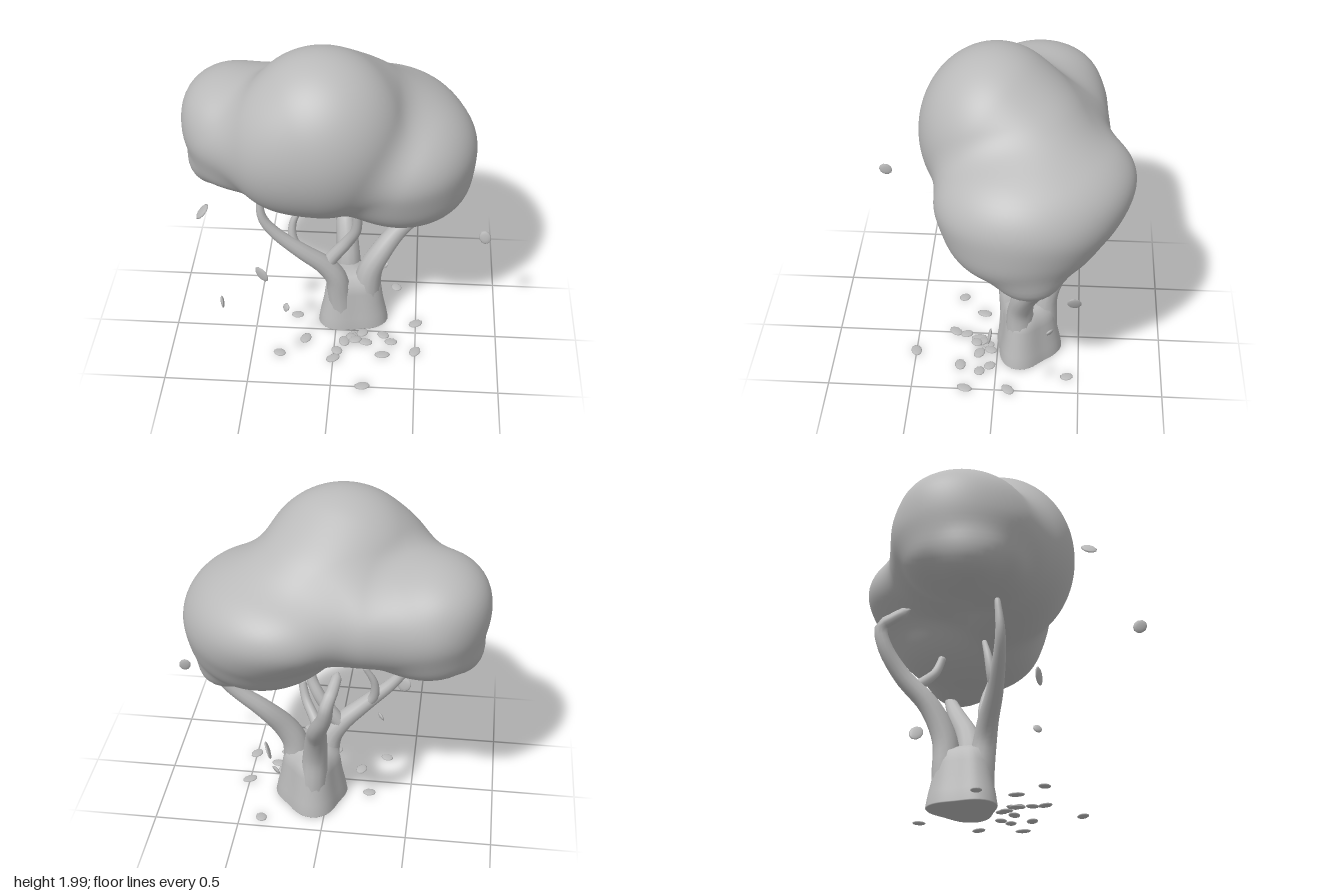
import * as THREE from 'three';
import { mergeVertices } from 'three/addons/utils/BufferGeometryUtils.js';

const grey = new THREE.MeshStandardMaterial({ color: 0xbababa });
grey.name = 'clay grey';
const V = (x, y, z) => new THREE.Vector3(x, y, z);

// Weld a geometry and give it smooth normals after its vertices were moved
function smooth(geo) {
  geo.deleteAttribute('uv');
  geo.deleteAttribute('normal');
  const welded = mergeVertices(geo, 1e-5);
  welded.computeVertexNormals();
  return welded;
}

function moveVertices(geo, rule) {
  const pos = geo.attributes.position, p = V(0, 0, 0);
  for (let i = 0; i < pos.count; i++) {
    rule(p.fromBufferAttribute(pos, i), i);
    pos.setXYZ(i, p.x, p.y, p.z);
  }
  return geo;
}

function addMesh(group, name, geo) {
  const mesh = new THREE.Mesh(geo, grey);
  mesh.name = name;
  group.add(mesh);
  return mesh;
}

// Tapered branch along a smooth path, closed at both ends
function branch(points, r0, r1) {
  const curve = new THREE.CatmullRomCurve3(points.map(p => V(...p)));
  const rings = 32, sides = 12;
  const geo = new THREE.TubeGeometry(curve, rings, 1, sides);
  moveVertices(geo, (p, i) => {
    const ring = Math.floor(i / (sides + 1));
    const t = ring / rings;
    const c = curve.getPointAt(t);
    const r = ring === 0 || ring === rings ? 0.0005 : r0 + (r1 - r0) * t;
    p.sub(c).multiplyScalar(r).add(c);
  });
  return smooth(geo);
}

// Trunk base with three soft lobes that lead into the main limbs
function trunk() {
  const profile = [[0, 0], [0.98, 0], [1, 0.006], [0.94, 0.08], [0.85, 0.17], [0.8, 0.25],
    [0.73, 0.32], [0.45, 0.355], [0, 0.36]].map(([r, y]) => new THREE.Vector2(r, y));
  const geo = new THREE.LatheGeometry(profile, 48);
  moveVertices(geo, p => {
    const lobe = 1 + 0.13 * Math.cos(3 * (Math.atan2(p.z, p.x) - 0.35));
    p.x = 0.095 + p.x * 0.208 * lobe;
    p.z = -0.175 + p.z * 0.195 * lobe;
  });
  return smooth(geo);
}

// Ellipsoid lumps of the crown: centre, radii
const lumps = [
  [V(-0.07, 1.49, 0.02), V(0.48, 0.505, 0.44)], // main dome
  [V(-0.3, 1.42, 0.07), V(0.32, 0.37, 0.32)], // front left of the dome
  [V(0.04, 1.47, -0.2), V(0.46, 0.36, 0.36)], // back slope
  [V(-0.22, 1.4, -0.3), V(0.4, 0.28, 0.33)], // back filling
  [V(0.23, 1.39, -0.37), V(0.42, 0.25, 0.4)], // back lobe
  [V(0.36, 1.3, -0.17), V(0.45, 0.35, 0.51)], // right lobe
  [V(0.37, 1.11, -0.14), V(0.4, 0.24, 0.4)], // right underside
  [V(0.59, 0.95, -0.2), V(0.14, 0.11, 0.16)], // right tip
  [V(-0.53, 1.4, -0.2), V(0.375, 0.33, 0.41)], // left lobe
  [V(-0.66, 1.52, -0.23), V(0.2, 0.16, 0.27)], // left shoulder
  [V(-0.58, 1.19, -0.2), V(0.27, 0.14, 0.3)], // left underside
  [V(-0.75, 1.14, -0.18), V(0.1, 0.1, 0.13)], // left tip
];

// Distance to the softly blended lumps
function crownDistance(p) {
  const k = 0.11;
  let d = Infinity;
  for (const [c, r] of lumps) {
    const q = p.clone().sub(c).divide(r);
    const a = q.length();
    const e = a * (a - 1) / Math.max(q.divide(r).length(), 1e-6);
    if (d === Infinity) { d = e; continue; }
    const h = Math.max(k - Math.abs(d - e), 0) / k;
    d = Math.min(d, e) - h * h * k / 4;
  }
  return d;
}

// A sphere whose points are drawn in until they touch the lumps
function crown() {
  const centre = V(-0.05, 1.36, -0.13);
  const geo = smooth(new THREE.IcosahedronGeometry(1, 26));
  moveVertices(geo, p => {
    const dir = p.clone().normalize();
    const at = t => crownDistance(p.copy(dir).multiplyScalar(t).add(centre));
    let t = 1.3;
    while (t > 0.1 && at(t) > 0) t -= 0.02;
    let lo = t, hi = t + 0.02;
    for (let i = 0; i < 10; i++) {
      const mid = (lo + hi) / 2;
      if (at(mid) > 0) hi = mid; else lo = mid;
    }
    p.copy(dir).multiplyScalar(lo).add(centre);
  });
  geo.computeVertexNormals();
  return geo;
}

export function createModel() {
  const tree = new THREE.Group();
  tree.name = 'tree';

  addMesh(tree, 'crown', crown());
  addMesh(tree, 'trunk', trunk());

  // Limbs: name, path, start radius, end radius
  const limbs = [
    ['rightLimb', [[0.18, 0.03, -0.15], [0.185, 0.22, -0.14], [0.205, 0.39, -0.14], [0.265, 0.51, -0.16],
      [0.37, 0.65, -0.21], [0.55, 0.82, -0.25], [0.65, 0.95, -0.27]], 0.1, 0.03],
    ['leftLimb', [[0.04, 0.03, -0.1], [0.02, 0.22, -0.085], [-0.005, 0.38, -0.065], [-0.07, 0.48, -0.05],
      [-0.2, 0.6, -0.02], [-0.37, 0.76, 0], [-0.44, 0.87, 0], [-0.45, 1.08, -0.02]], 0.088, 0.015],
    ['backLimb', [[0.08, 0.03, -0.27], [0.07, 0.22, -0.28], [0.06, 0.4, -0.29], [0.04, 0.6, -0.38],
      [0.01, 0.77, -0.54], [-0.04, 0.93, -0.645], [-0.06, 1.05, -0.67], [-0.08, 1.09, -0.61],
      [-0.1, 1.15, -0.5]], 0.09, 0.028],
    ['forkedTwig', [[-0.07, 0.47, -0.06], [-0.02, 0.54, -0.065], [0.07, 0.67, -0.05], [0.12, 0.78, -0.02],
      [0.13, 0.97, 0]], 0.045, 0.025],
    ['leftTwig', [[-0.22, 0.61, -0.02], [-0.26, 0.68, -0.04], [-0.26, 0.79, -0.06], [-0.2, 0.91, -0.08]],
      0.034, 0.014],
    ['backTwig', [[0.01, 0.7, -0.47], [0.04, 0.75, -0.42], [0.1, 0.84, -0.35], [0.13, 0.95, -0.31]],
      0.034, 0.022],
  ];
  for (const [name, path, r0, r1] of limbs) addMesh(tree, name, branch(path, r0, r1));

  const leafGeo = new THREE.SphereGeometry(1, 10, 6);

  // Falling leaves: position, tilt, half length and half width
  const falling = [
    [-0.7, 1.24, 0.47, 0.2, 0, 0.85, 0.055, 0.045], [-0.57, 0.84, 0.75, 0.9, 0.2, 1.45, 0.045, 0.035],
    [0.885, 0.78, 0.0, 1.4, 0.3, 0, 0.035, 0.045], [-0.425, 0.6, 0.21, 1.3, 0.6, 0.6, 0.04, 0.055],
    [-0.285, 0.35, 0.21, 0.9, 0, 0.9, 0.032, 0.026], [0.29, 0.29, -0.32, 1.0, 0, 0.7, 0.032, 0.025],
    [0.31, 0.54, -0.46, 0.5, 0, 1.2, 0.055, 0.04],
  ];
  for (const [x, y, z, a, b, c, l, w] of falling) {
    const leaf = addMesh(tree, 'fallingLeaf', leafGeo);
    leaf.position.set(x, y, z);
    leaf.rotation.set(a, b, c);
    leaf.scale.set(l, 0.01, w);
  }

  // Leaves lying on the ground: x, z, height
  const fallen = [
    [-0.25, -0.12], [-0.18, 0.1], [-0.33, 0.24], [0, 0.27], [0.02, 0.2], [0.19, 0.5], [0.11, 0.06],
    [0.19, 0.11], [0.17, 0.04, 0.02], [0.11, 0.1, 0.03], [0.13, 0.13, 0.042], [0.06, 0.12, 0.016],
    [0.35, 0.1], [0.5, 0.18], [0.3, 0.04], [0.5, -0.08], [0.37, -0.43], [0.3, 0.22],
  ];
  fallen.forEach(([x, z, y = 0.009], i) => {
    const leaf = addMesh(tree, 'fallenLeaf', leafGeo);
    leaf.position.set(x, y, z);
    leaf.rotation.y = i * 1.3;
    leaf.scale.set(0.04 + 0.008 * (i % 2), 0.008, 0.033);
  });

  return tree;
}
